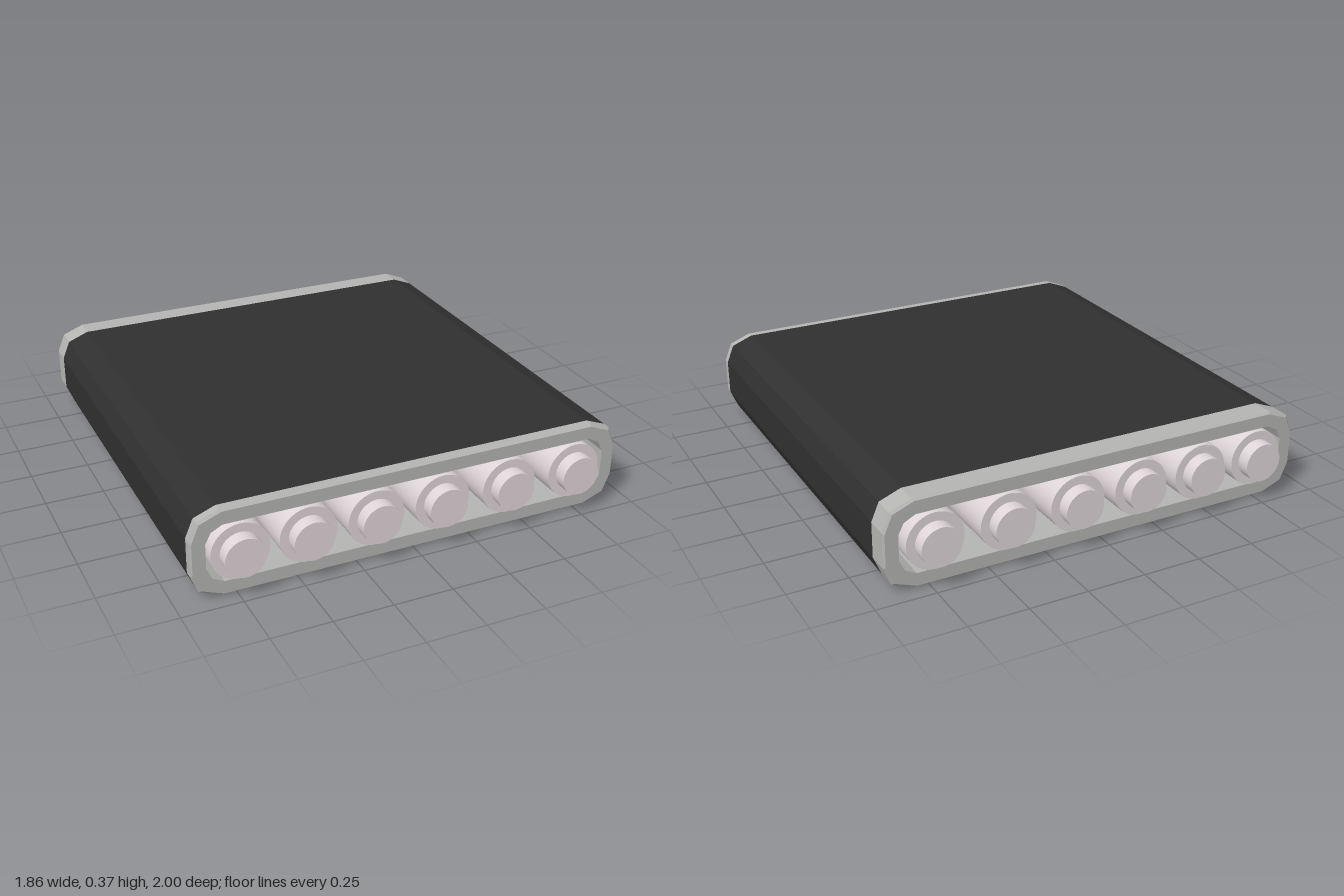
import * as THREE from 'three';

const CENTER_Y = 0.187;

// Octagon-like closed profile (counter-clockwise) mirrored from one quarter
function profile(quarter, inset = 0) {
  const q = quarter.map(([x, y]) => [x - inset, y - inset]);
  const r = [...q].reverse();
  return [
    ...q,
    ...r.map(([x, y]) => [-x, y]),
    ...q.map(([x, y]) => [-x, -y]),
    ...r.map(([x, y]) => [x, -y]),
  ];
}

// Skin through a sequence of [profile, z] sections
function loft(sections) {
  const pos = [];
  const point = (s, j) => {
    const [x, y] = s[0][j % s[0].length];
    return [x, y, s[1]];
  };
  for (let i = 0; i < sections.length - 1; i++) {
    const s = sections[i], t = sections[i + 1];
    for (let j = 0; j < s[0].length; j++) {
      const a = point(s, j), b = point(s, j + 1), c = point(t, j), d = point(t, j + 1);
      pos.push(...a, ...c, ...b, ...b, ...c, ...d);
    }
  }
  const geo = new THREE.BufferGeometry();
  geo.setAttribute('position', new THREE.Float32BufferAttribute(pos, 3));
  geo.computeVertexNormals();
  return geo;
}

export function createModel() {
  const group = new THREE.Group();
  const caseMat = new THREE.MeshStandardMaterial({ color: 0xb4b4b1, flatShading: true });
  const sleeveMat = new THREE.MeshStandardMaterial({ color: 0x303030, flatShading: true });
  const cellMat = new THREE.MeshStandardMaterial({ color: 0xdfd5d9 });

  const add = (name, geo, mat, parent, y = 0) => {
    const mesh = new THREE.Mesh(geo, mat);
    mesh.name = name;
    mesh.position.y = y;
    parent.add(mesh);
    return mesh;
  };

  const outerQuarter = [[0.932, 0.075], [0.9, 0.152], [0.81, 0.187]];
  const innerQuarter = [[0.87, 0.055], [0.847, 0.1], [0.8, 0.124]];
  const outer = profile(outerQuarter);
  const edge = profile(outerQuarter, 0.008);
  const inner = profile(innerQuarter);

  // Hollow case: end rims and the inner wall
  add('case', loft([
    [outer, -0.83], [outer, -0.922], [edge, -0.932], [inner, -0.932],
    [inner, 0.932], [edge, 0.932], [outer, 0.922], [outer, 0.89],
  ]), caseMat, group, CENTER_Y);

  // Dark outer sleeve, flush with the rims
  add('sleeve', loft([[outer, 0.89], [outer, -0.83]]), sleeveMat, group, CENTER_Y);

  // Row of cylindrical cells with a terminal at each end
  const bodyGeo = new THREE.CylinderGeometry(0.12, 0.12, 1.888, 40).rotateX(Math.PI / 2);
  const terminalGeo = new THREE.CylinderGeometry(0.083, 0.083, 0.076, 40).rotateX(Math.PI / 2);
  [-0.737, -0.46, -0.174, 0.116, 0.42, 0.727].forEach((x, i) => {
    const cell = new THREE.Group();
    cell.name = `cell${i + 1}`;
    cell.position.set(x, CENTER_Y, 0);
    add('cellBody', bodyGeo, cellMat, cell);
    add('frontTerminal', terminalGeo, cellMat, cell).position.z = 0.962;
    add('backTerminal', terminalGeo, cellMat, cell).position.z = -0.962;
    group.add(cell);
  });

  return group;
}
